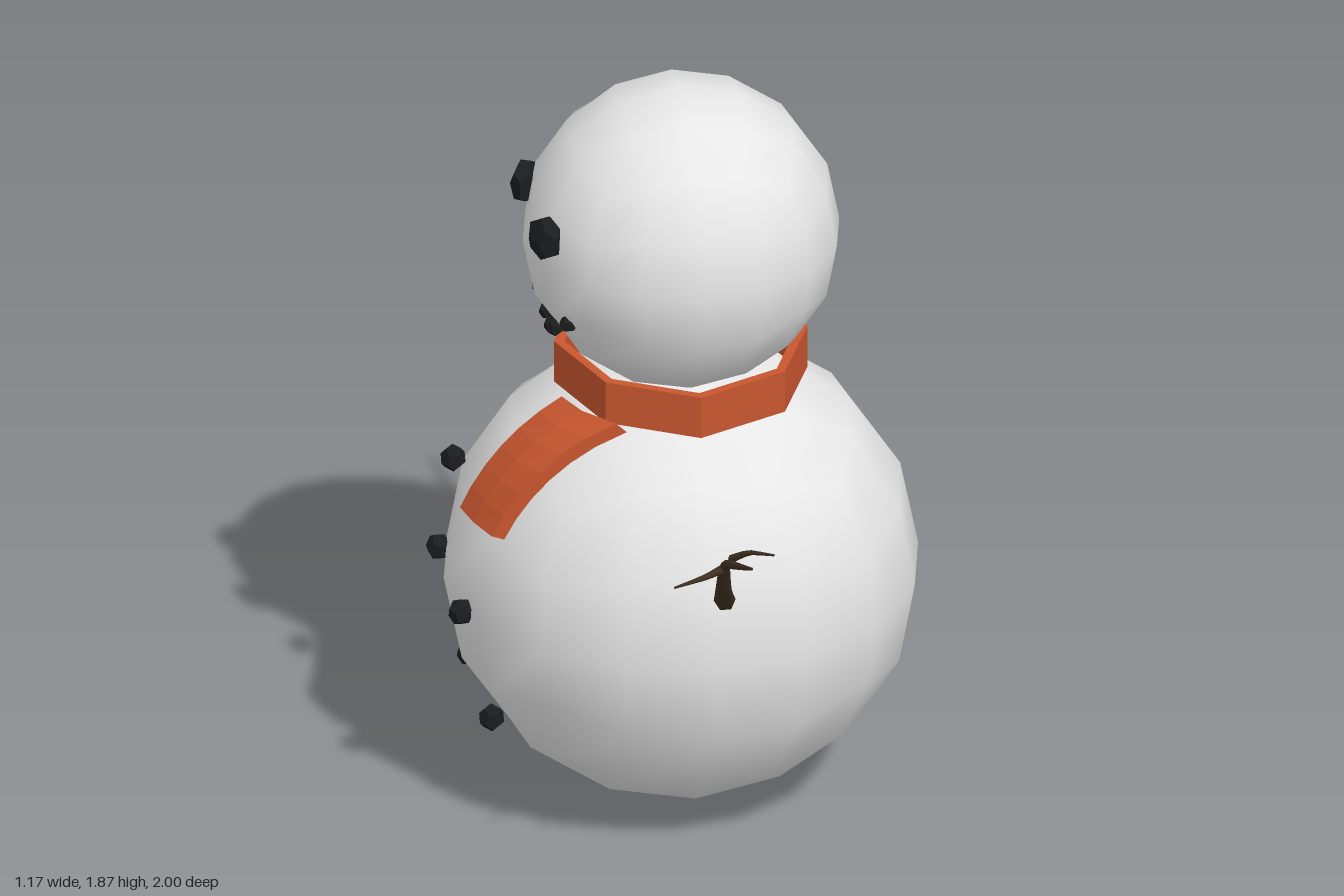
import * as THREE from 'three';

const mat = (name, color, extra = {}) => Object.assign(new THREE.MeshStandardMaterial({ color, ...extra }), { name });

// Ball made from a subdivided cube, with smooth normals
function ballGeometry(radius) {
  const g = new THREE.BoxGeometry(2, 2, 2, 4, 4, 4);
  const p = g.attributes.position, v = new THREE.Vector3();
  const warp = (t) => Math.tan(t * Math.PI / 4);
  for (let i = 0; i < p.count; i++) {
    v.set(warp(p.getX(i)), warp(p.getY(i)), warp(p.getZ(i))).normalize();
    g.attributes.normal.setXYZ(i, v.x, v.y, v.z);
    p.setXYZ(i, v.x * radius, v.y * radius, v.z * radius);
  }
  return g;
}

// Tapered tube through a few points
function twigGeometry(points, r0, r1) {
  const curve = new THREE.CatmullRomCurve3(points.map((q) => new THREE.Vector3(...q)), false, 'catmullrom', 0.25);
  const n = (points.length - 1) * 3, sides = 6;
  const g = new THREE.TubeGeometry(curve, n, 1, sides);
  const p = g.attributes.position, v = new THREE.Vector3();
  for (let i = 0; i <= n; i++) {
    const c = curve.getPointAt(i / n), r = r0 + (r1 - r0) * i / n;
    for (let j = 0; j <= sides; j++) {
      const k = i * (sides + 1) + j;
      v.fromBufferAttribute(p, k).sub(c).multiplyScalar(r).add(c);
      p.setXYZ(k, v.x, v.y, v.z);
    }
  }
  return g;
}

export function createModel() {
  const model = new THREE.Group();
  model.name = 'snowman';
  const snow = mat('snow', 0xe7e7e7);
  const wool = mat('orange wool', 0xc8562f, { flatShading: true });
  const coal = mat('coal', 0x1b1c1e, { flatShading: true });
  const wood = mat('wood', 0x3f3022, { side: THREE.DoubleSide });
  const CZ = -0.08, BODY_Y = 0.585;

  const add = (name, geometry, material, x = 0, y = 0, z = 0, parent = model) => {
    const m = new THREE.Mesh(geometry, material);
    m.name = name;
    m.position.set(x, y, z);
    parent.add(m);
    return m;
  };

  // Snow balls
  add('body', ballGeometry(0.58), snow, 0, BODY_Y, CZ);
  add('head', ballGeometry(0.387), snow, 0, 1.49, CZ);

  // Scarf ring, raised a little at the sides
  const profile = [[0.31, 1.08], [0.31, 1.19], [0.285, 1.19], [0.285, 1.08], [0.31, 1.08]];
  const ring = new THREE.LatheGeometry(profile.map((q) => new THREE.Vector2(...q)), 8);
  const rp = ring.attributes.position;
  for (let i = 0; i < rp.count; i++) {
    const x = rp.getX(i);
    rp.setY(i, rp.getY(i) + (x < 0 ? -0.06 * x : 0.03 * x));
  }
  add('scarfRing', ring, wool, 0, 0, CZ);

  // Scarf tail, a strip wrapped over the body
  const tail = new THREE.BoxGeometry(1, 1, 1, 1, 6, 2);
  const tp = tail.attributes.position;
  for (let i = 0; i < tp.count; i++) {
    const r = 0.595 - tp.getX(i) * 0.03;
    const lat = 0.40 + (tp.getY(i) + 0.5) * 0.62;
    const y = Math.sin(lat) * r;
    const z = 0.17 + tp.getZ(i) * 0.16;
    tp.setXYZ(i, -Math.sqrt(Math.max(r * r - y * y - z * z, 0)), y, z);
  }
  add('scarfTail', tail, wool, 0, BODY_Y, CZ);

  // Coal pieces
  const stone = new THREE.DodecahedronGeometry(1);
  const lump = (name, x, y, z, r, flat = 1, turn = 0) => {
    const m = add(name, stone, coal, x, y, z);
    m.scale.set(r * flat, r, r);
    m.rotation.set(turn, 0, 0);
    return m;
  };
  for (const side of [-1, 1]) {
    const eye = lump('eye', -0.355, 1.57, CZ - 0.005 + side * 0.15, 0.06, 0.6, side);
    eye.rotation.set(0, side * 0.4, 0);
    [[0.304, 1.35, 0.18], [0.325, 1.305, 0.11], [0.32, 1.275, 0.037]].forEach(([x, y, z], i) =>
      lump('mouthStone', -x, y, CZ + side * z, 0.022, 1, i));
    [[0.49, 0.285], [0.565, 0.58], [0.53, 0.82]].forEach(([x, y], i) => {
      // the scarf tail hides the last button on one side
      if (side < 0 || i < 2) lump('button', -x, y, CZ + side * 0.17, 0.035, 0.9, i + side);
    });
  }

  // Twig arms: a main stem with side twigs
  const arm = (name, twigs) => {
    const g = new THREE.Group();
    g.name = name;
    model.add(g);
    twigs.forEach(([pts, r0, r1], i) => add(i ? 'twig' : 'stem', twigGeometry(pts, r0, r1), wood, 0, 0, 0, g));
  };
  arm('frontArm', [
    [[[0.022, 0.75, 0.45], [-0.008, 0.87, 0.62], [-0.028, 1.02, 0.77], [-0.012, 1.065, 0.87], [0, 1.125, 1]], 0.027, 0.004],
    [[[-0.025, 1.0, 0.75], [-0.08, 1.005, 0.8], [-0.165, 1.012, 0.855]], 0.012, 0.003],
    [[[-0.018, 1.05, 0.8], [0.02, 1.085, 0.84], [0.07, 1.105, 0.9]], 0.01, 0.003],
  ]);
  arm('backArm', [
    [[[0, 0.75, -0.6], [-0.003, 0.79, -0.73], [-0.002, 0.87, -0.86], [-0.003, 0.98, -0.92], [0, 1.025, -1]], 0.024, 0.004],
    [[[-0.002, 0.945, -0.9], [-0.015, 0.975, -0.905], [-0.035, 0.995, -0.89]], 0.009, 0.003],
  ]);
  return model;
}
